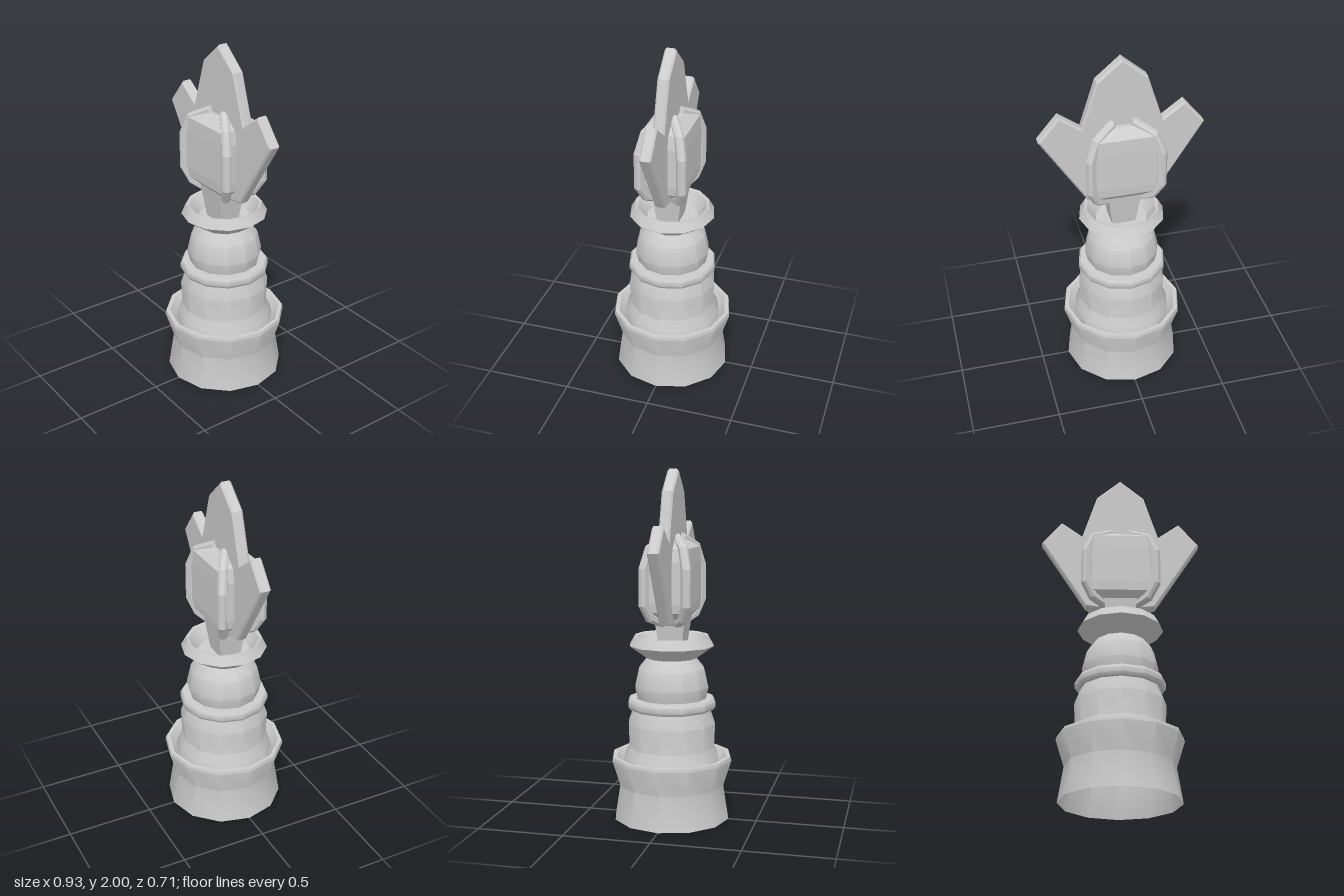
import * as THREE from 'three';
import { toCreasedNormals } from 'three/addons/utils/BufferGeometryUtils.js';

const smooth = new THREE.MeshStandardMaterial({ color: 0xcccccc, side: THREE.DoubleSide });
const flat = new THREE.MeshStandardMaterial({ color: 0xcccccc, flatShading: true });
const points = (list) => list.map(([x, y]) => new THREE.Vector2(x, y));

function add(parent, name, geometry, material) {
  const mesh = new THREE.Mesh(geometry, material);
  mesh.name = name;
  parent.add(mesh);
  return mesh;
}

// Twelve-sided turned part from a [radius, height] profile
function turned(parent, name, profile) {
  const geometry = new THREE.LatheGeometry(points(profile), 12);
  return add(parent, name, toCreasedNormals(geometry, 0.62), smooth);
}

// Rectangular block through levels of [height, half width, half depth]
function block(levels) {
  const n = levels.length - 1;
  const geometry = new THREE.BoxGeometry(2, n, 2, 1, n, 1);
  const p = geometry.attributes.position;
  for (let i = 0; i < p.count; i++) {
    const [y, w, d] = levels[Math.round(p.getY(i) + n / 2)];
    p.setXYZ(i, p.getX(i) * w, y, p.getZ(i) * d);
  }
  return geometry;
}

// Outline extruded to a total thickness, centred on its plane, with chamfered edges
function slab(outline, thickness, bevel) {
  const geometry = new THREE.ExtrudeGeometry(new THREE.Shape(points(outline)), {
    depth: thickness - 2 * bevel, bevelEnabled: true, bevelSegments: 1,
    bevelSize: bevel, bevelThickness: bevel, bevelOffset: -bevel,
  });
  return geometry.translate(0, 0, bevel - thickness / 2);
}

export function createModel() {
  const model = new THREE.Group();
  model.name = 'ornamentalStaffHead';

  // Turned pedestal
  turned(model, 'base', [[0.338, 0], [0.306, 0.2], [0.353, 0.35], [0.347, 0.37],
    [0.325, 0.37], [0.285, 0.32]]);
  turned(model, 'lowerBulb', [[0.285, 0.32], [0.275, 0.37], [0.25, 0.42], [0.256, 0.56],
    [0.225, 0.645]]);
  turned(model, 'collar', [[0.2, 0.642], [0.245, 0.642], [0.256, 0.658], [0.256, 0.688],
    [0.245, 0.704], [0.19, 0.704]]);
  turned(model, 'upperBulb', [[0.2, 0.7], [0.216, 0.77], [0.192, 0.875], [0.135, 0.945]]);
  turned(model, 'cup', [[0.135, 0.93], [0.246, 1.01], [0.215, 1.065], [0.2, 1.06],
    [0.148, 0.985], [0, 0.975]]);

  // Crown head
  const head = new THREE.Group();
  head.name = 'head';
  head.position.set(-0.002, 0, 0.009);
  model.add(head);

  add(head, 'stem', block([[0.96, 0.065, 0.06], [1.185, 0.096, 0.09]]), flat);
  add(head, 'gem', block([[1.17, 0.12, 0.085], [1.21, 0.165, 0.122], [1.26, 0.172, 0.126],
    [1.49, 0.172, 0.126], [1.565, 0.155, 0.122], [1.61, 0.1, 0.06]]), flat);

  const half = [[0.09, 1.13], [0.2, 1.145], [0.463, 1.56], [0.347, 1.7], [0.225, 1.61], [0.14, 1.88]];
  const mirrored = half.map(([x, y]) => [-x, y]).reverse();
  add(head, 'crownPlate', slab([...half, [0, 2], ...mirrored], 0.066, 0.01), flat);

  // Four claws gripping the gem diagonally
  const claw = slab([[0.09, 1.12], [0.2, 1.16], [0.258, 1.25], [0.258, 1.46], [0.205, 1.58],
    [0.07, 1.645], [0.053, 1.605], [0.165, 1.545], [0.202, 1.45], [0.202, 1.265],
    [0.165, 1.2], [0.1, 1.165]], 0.05, 0.012);
  const tilt = THREE.MathUtils.degToRad(31);
  for (const angle of [tilt, -tilt, Math.PI - tilt, Math.PI + tilt]) {
    add(head, 'claw', claw, flat).rotation.y = angle;
  }
  return model;
}
